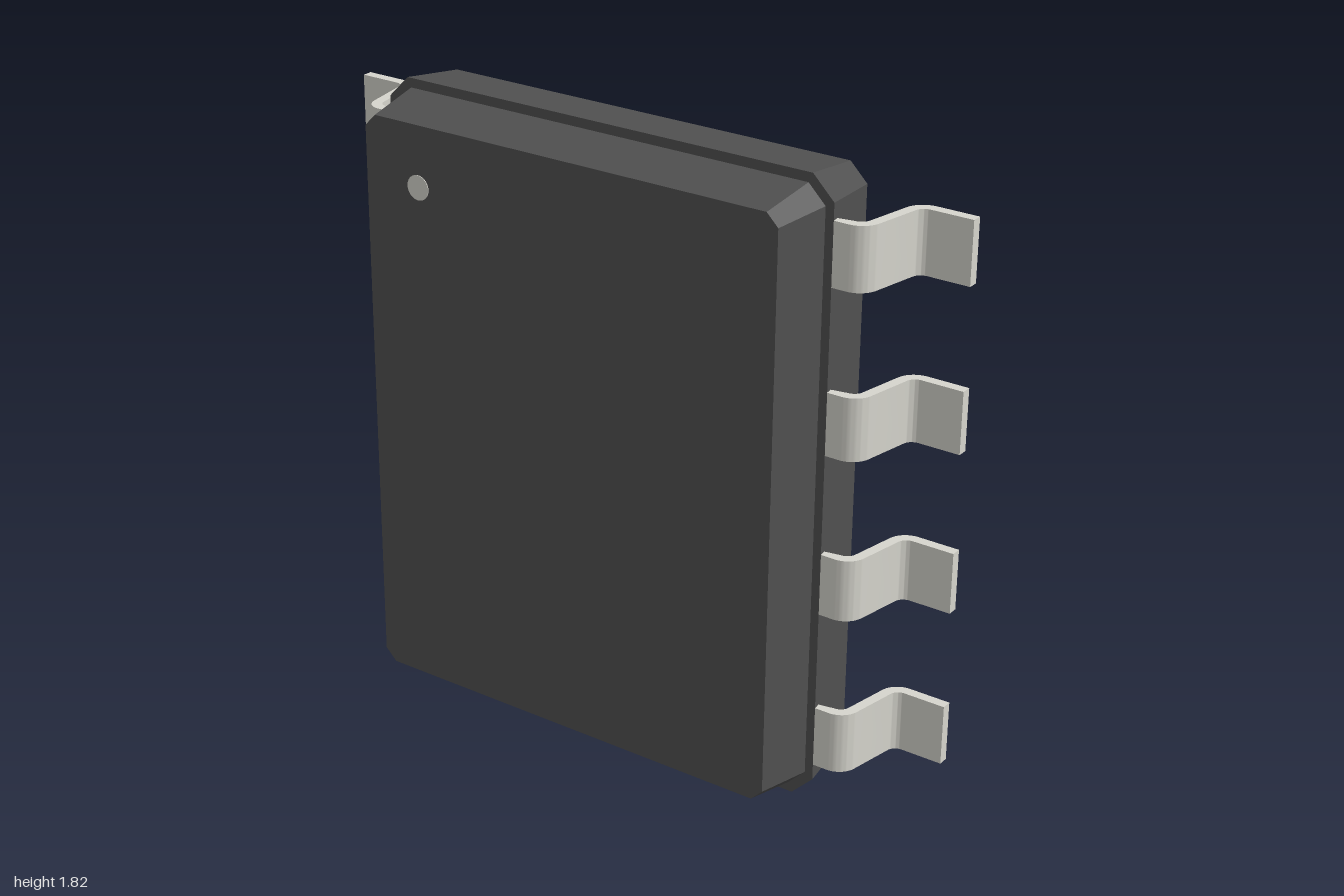
import * as THREE from 'three';
import { toCreasedNormals } from 'three/addons/utils/BufferGeometryUtils.js';

const MID_Y = 0.9075; // height of the body's centre

// Rectangle outline with cut corners, counter-clockwise seen from +z
function chamferedRing(w, h, c, z) {
  return [
    [w, -h + c], [w, h - c], [w - c, h], [-w + c, h],
    [-w, h - c], [-w, -h + c], [-w + c, -h], [w - c, -h],
  ].map(([x, y]) => [x, y + MID_Y, z]);
}

// Closed solid between a back ring and a front ring
function taperedBlock(back, front) {
  const positions = [];
  const tri = (a, b, c) => positions.push(...a, ...b, ...c);
  const n = back.length;
  for (let i = 0; i < n; i++) {
    const j = (i + 1) % n;
    tri(back[i], back[j], front[j]);
    tri(back[i], front[j], front[i]);
    if (i > 0 && j > 0) {
      tri(front[0], front[i], front[j]);
      tri(back[0], back[j], back[i]);
    }
  }
  const geometry = new THREE.BufferGeometry();
  geometry.setAttribute('position', new THREE.Float32BufferAttribute(positions, 3));
  geometry.computeVertexNormals();
  return geometry;
}

// Gull-wing strip: side profile in x-z, extruded along y
function leadGeometry() {
  const width = 0.18, thin = 0.03, wide = 0.06;
  const tilt = THREE.MathUtils.degToRad(11);
  const bendIn = [0.763, -0.025], bendOut = [0.877, -0.145];
  const s = new THREE.Shape();
  s.moveTo(0.6, 0.005);
  s.absarc(...bendIn, thin, Math.PI / 2, tilt, true);
  s.absarc(...bendOut, wide, Math.PI + tilt, Math.PI * 1.5, false);
  s.lineTo(1, -0.205);
  s.lineTo(1, -0.175);
  s.absarc(...bendOut, thin, Math.PI * 1.5, Math.PI + tilt, true);
  s.absarc(...bendIn, wide, tilt, Math.PI / 2, false);
  s.lineTo(0.6, 0.035);
  s.closePath();
  const geometry = new THREE.ExtrudeGeometry(s, { depth: width, bevelEnabled: false, curveSegments: 10 });
  geometry.translate(0, 0, -width / 2);
  geometry.rotateX(Math.PI / 2);
  return toCreasedNormals(geometry, 0.5);
}

export function createModel() {
  const model = new THREE.Group();
  model.name = 'surfaceMountChip';
  const plastic = new THREE.MeshStandardMaterial({ color: 0x505050 });
  const metal = new THREE.MeshStandardMaterial({ color: 0xd6d5cd });

  const add = (name, geometry, material, parent = model) => {
    const mesh = new THREE.Mesh(geometry, material);
    mesh.name = name;
    parent.add(mesh);
    return mesh;
  };

  // Two moulded halves, the back one slightly larger at the seam
  add('bodyBack', taperedBlock(
    chamferedRing(0.695, 0.88, 0.052, -0.165),
    chamferedRing(0.72, 0.9075, 0.065, 0.035)), plastic);
  add('bodyFront', taperedBlock(
    chamferedRing(0.695, 0.88, 0.052, 0.035),
    chamferedRing(0.665, 0.85, 0.035, 0.205)), plastic);

  // Round pin-one marker
  const dot = new THREE.CylinderGeometry(0.036, 0.036, 0.01, 32);
  dot.rotateX(Math.PI / 2);
  add('pinOneMarker', dot, metal).position.set(-0.485, 1.58, 0.202);

  // Four leads on each side
  const lead = leadGeometry();
  for (const side of ['left', 'right']) {
    const row = new THREE.Group();
    row.name = side + 'Leads';
    model.add(row);
    for (let i = 0; i < 4; i++) {
      const mesh = add(side + 'Lead' + (i + 1), lead, metal, row);
      mesh.position.y = MID_Y + (i - 1.5) * 0.47;
      if (side === 'right') mesh.rotation.z = Math.PI;
    }
  }
  return model;
}
